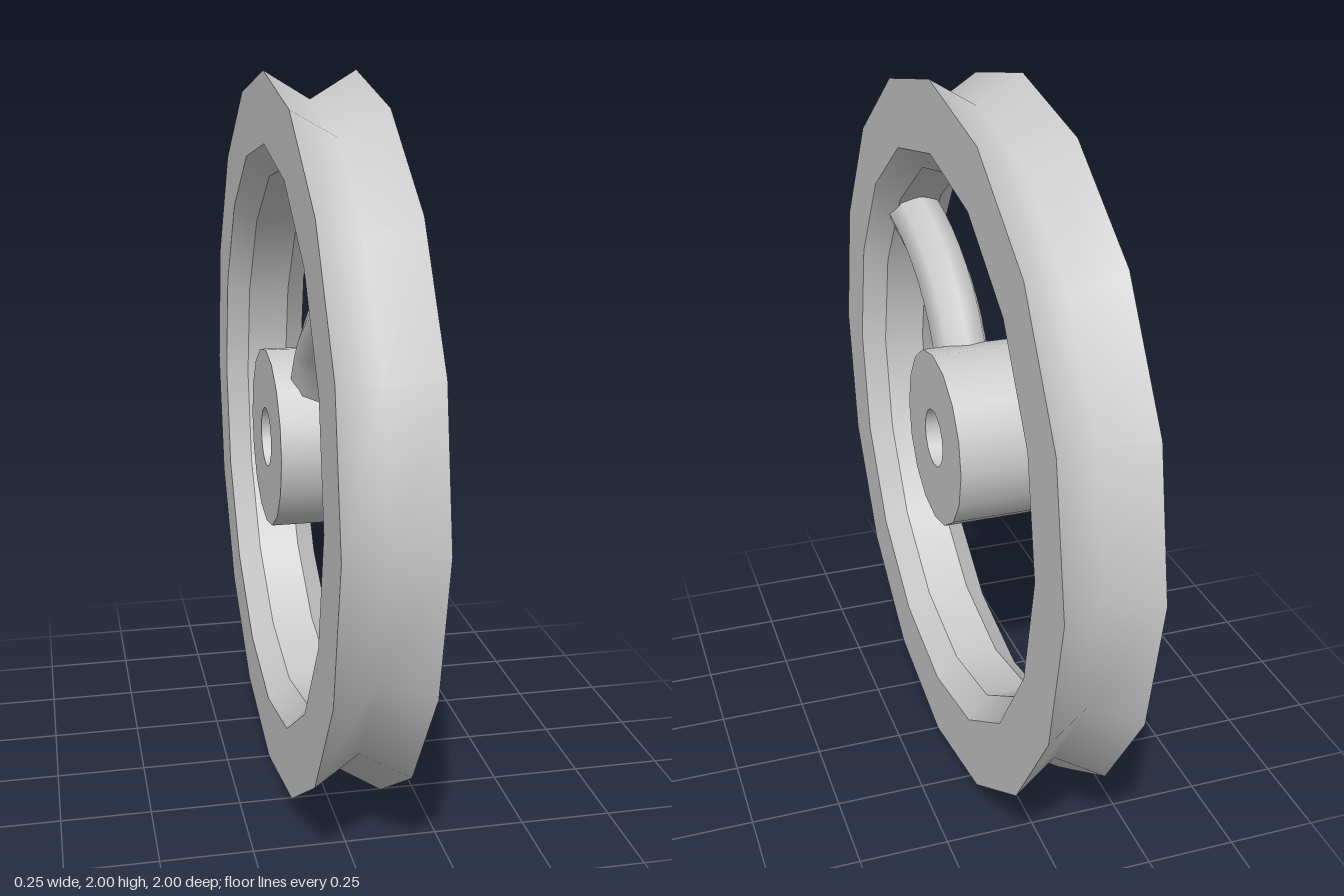
import * as THREE from 'three';
import { mergeGeometries } from 'three/addons/utils/BufferGeometryUtils.js';

const SIDES = 16;
const material = new THREE.MeshStandardMaterial({ color: 0xcccccc });

// Each band is a list of [radius, x] points: smooth inside a band, sharp between bands
function turned(name, bands) {
  const parts = bands.map((band) =>
    new THREE.LatheGeometry(band.map(([r, x]) => new THREE.Vector2(r, x)), SIDES));
  const geometry = mergeGeometries(parts);
  geometry.rotateZ(-Math.PI / 2); // axle along x
  const mesh = new THREE.Mesh(geometry, material);
  mesh.name = name;
  mesh.position.y = 1;
  return mesh;
}

export function createModel() {
  const group = new THREE.Group();
  group.name = 'pulleyWheel';
  const w = 0.125; // half width
  const f = 0.0625; // half width of the inner flat

  // Rim with V groove outside and chamfered inside
  group.add(turned('rim', [
    [[1, -w], [0.925, 0], [1, w]],
    [[1, w], [0.81, w]],
    [[0.81, w], [0.75, f]],
    [[0.75, f], [0.75, -f]],
    [[0.75, -f], [0.81, -w]],
    [[0.81, -w], [1, -w]],
  ]));

  // Hub with axle bore
  group.add(turned('hub', [
    [[0.25, -w], [0.25, w]],
    [[0.25, w], [0.083, w]],
    [[0.083, w], [0.083, -w]],
    [[0.083, -w], [0.25, -w]],
  ]));

  // Single curved spoke, its ends buried in hub and rim
  const path = new THREE.CatmullRomCurve3(
    [[0.11, 1.15], [0.2, 1.28], [0.31, 1.37], [0.45, 1.435], [0.59, 1.47], [0.68, 1.485]]
      .map(([z, y]) => new THREE.Vector3(0, y, z)));
  const spoke = new THREE.Mesh(new THREE.TubeGeometry(path, 10, 0.08, 8), material);
  spoke.name = 'spoke';
  group.add(spoke);

  return group;
}
